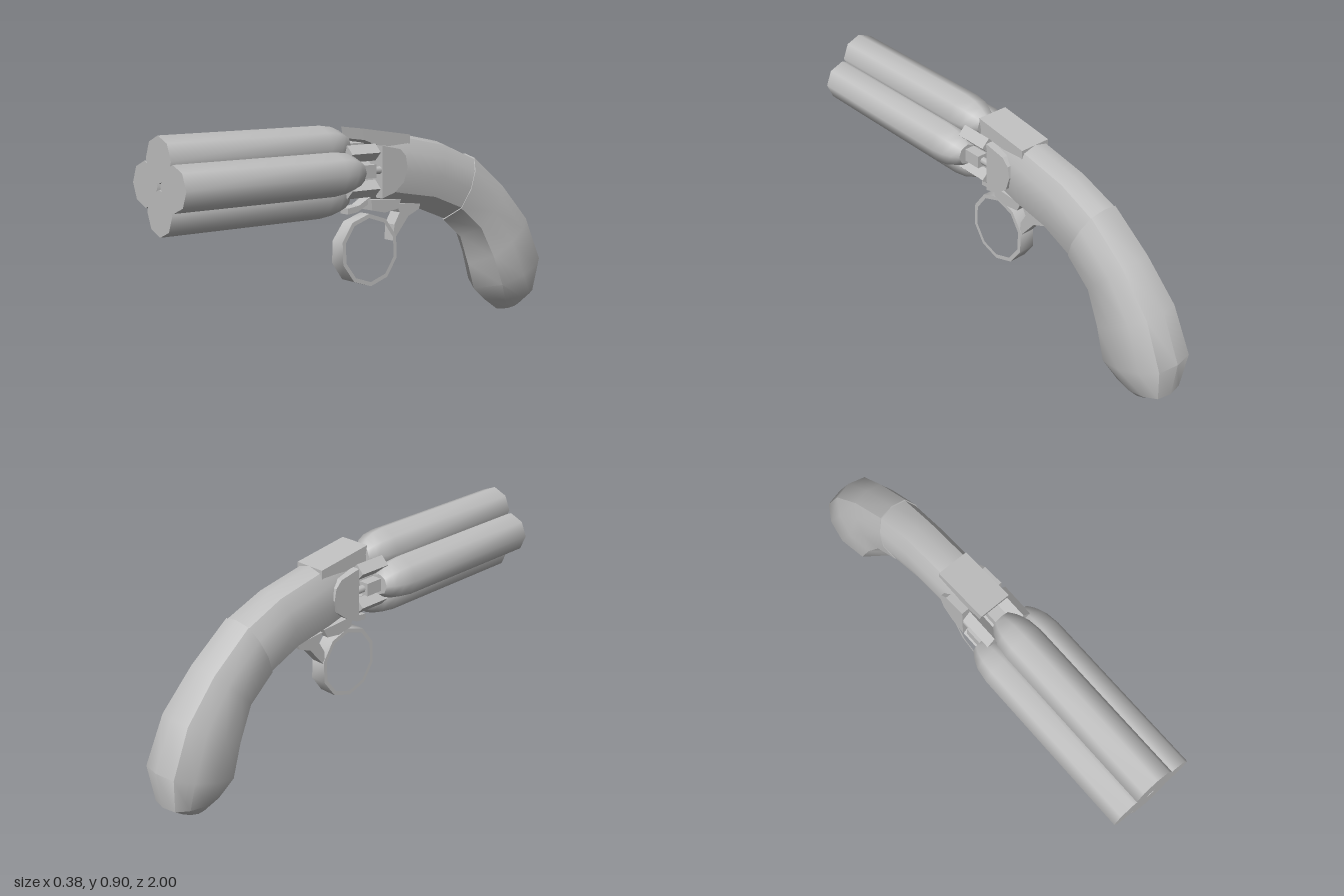
import * as THREE from 'three';
import { toCreasedNormals } from 'three/addons/utils/BufferGeometryUtils.js';

const AXIS_Y = 0.718;

// Skins oval rings; each section is [topZ, topY, bottomZ, bottomY, halfWidth].
function loft(sections) {
  const half = [[0, 0], [0.05, 0.6], [0.24, 0.9], [0.5, 1], [0.8, 0.8]];
  const loop = [...half, [1, 0], ...half.slice(1).reverse().map(([t, w]) => [t, -w])];
  const n = loop.length, pos = [], idx = [];
  for (const [tz, ty, bz, by, w] of sections)
    for (const [t, s] of loop) pos.push(s * w, ty + (by - ty) * t, tz + (bz - tz) * t);
  for (let i = 0; i < sections.length - 1; i++)
    for (let j = 0; j < n; j++) {
      const k = (j + 1) % n, a = i * n + j, b = i * n + k;
      idx.push(a, b, a + n, b, b + n, a + n);
    }
  const addCap = (i, front) => {
    const [tz, ty, bz, by] = sections[i], c = pos.length / 3;
    pos.push(0, (ty + by) / 2, (tz + bz) / 2);
    for (let j = 0; j < n; j++) {
      const a = i * n + j, b = i * n + (j + 1) % n;
      idx.push(c, front ? b : a, front ? a : b);
    }
  };
  addCap(0, true);
  addCap(sections.length - 1, false);
  const g = new THREE.BufferGeometry();
  g.setAttribute('position', new THREE.Float32BufferAttribute(pos, 3));
  g.setIndex(idx);
  return toCreasedNormals(g, 0.6);
}

// Side outline in [z, y], extruded across x and centred on x0.
function sidePlate(points, width, x0 = 0, hole) {
  const toVec = ([z, y]) => new THREE.Vector2(-z, y);
  const shape = new THREE.Shape(points.map(toVec));
  if (hole) shape.holes.push(new THREE.Path(hole.map(toVec)));
  const g = new THREE.ExtrudeGeometry(shape, { depth: width, bevelEnabled: false });
  return g.translate(0, 0, -width / 2).rotateY(Math.PI / 2).translate(x0, 0, 0);
}

function ringPoints(z, y, r, count) {
  return Array.from({ length: count }, (_, i) => {
    const a = (i + 0.5) / count * Math.PI * 2;
    return [z + r * Math.cos(a), y + r * Math.sin(a)];
  });
}

export function createModel() {
  const model = new THREE.Group();
  model.name = 'multiBarrelPistol';
  const steel = new THREE.MeshStandardMaterial({ color: 0xc0c0c0 });
  steel.name = 'grey';
  const add = (name, geometry, parent = model) => {
    const mesh = new THREE.Mesh(geometry, steel);
    mesh.name = name;
    parent.add(mesh);
    return mesh;
  };

  // Four eight-sided barrels with rounded breeches
  const profile = [[0, 0.12], [0.045, 0.12], [0.066, 0.15], [0.082, 0.19], [0.09, 0.25], [0.09, 1], [0, 1]]
    .map(([r, z]) => new THREE.Vector2(r, z));
  const barrel = toCreasedNormals(new THREE.LatheGeometry(profile, 8).rotateX(Math.PI / 2), 0.9);
  const cluster = new THREE.Group();
  cluster.name = 'barrelCluster';
  cluster.position.y = AXIS_Y;
  model.add(cluster);
  for (let i = 0; i < 4; i++) {
    const arm = new THREE.Group();
    arm.name = 'barrelArm';
    arm.rotation.z = i * Math.PI / 2;
    cluster.add(arm);
    add('barrel', barrel, arm).position.y = 0.101;
    // Breech nipple and its boss
    const nipple = add('nipple', new THREE.CylinderGeometry(0.016, 0.016, 0.14, 8).rotateX(Math.PI / 2), arm);
    nipple.position.set(0, 0.085, 0.07);
    const boss = add('breechBlock', new THREE.BoxGeometry(0.055, 0.045, 0.11), arm);
    boss.position.set(0, 0.09, 0.095);
    // Divider blocks between neighbouring barrels
    const block = add('dividerBlock', new THREE.BoxGeometry(0.05, 0.05, 0.15), arm);
    block.position.set(0.075, 0.075, 0.09);
    block.rotation.z = Math.PI / 4;
  }
  const spindle = add('spindle', new THREE.CylinderGeometry(0.035, 0.035, 0.3, 8).rotateX(Math.PI / 2), cluster);
  spindle.position.z = 0.13;

  // Curved frame and bulbous grip
  add('frame', loft([
    [0, 0.872, 0, 0.575, 0.082],
    [-0.17, 0.857, -0.14, 0.545, 0.098],
    [-0.4, 0.81, -0.3, 0.52, 0.1],
    [-0.58, 0.737, -0.45, 0.462, 0.106],
  ]));
  add('grip', loft([
    [-0.575, 0.745, -0.445, 0.457, 0.109],
    [-0.76, 0.6, -0.55, 0.37, 0.114],
    [-0.91, 0.44, -0.6, 0.24, 0.128],
    [-1, 0.24, -0.64, 0.12, 0.14],
    [-0.98, 0.08, -0.71, 0.06, 0.1],
    [-0.91, 0.03, -0.79, 0.005, 0.055],
  ]));

  // Flat-topped hammer bar reaching over the breech
  add('hammerBar', sidePlate([[0.08, 0.893], [0.07, 0.845], [0, 0.82], [-0.18, 0.8], [-0.18, 0.855]], 0.14));

  // Side shields
  for (const s of [-1, 1])
    add('sideShield', sidePlate(
      [[0, 0.82], [0, 0.6], [-0.07, 0.62], [-0.12, 0.66], [-0.14, 0.72], [-0.13, 0.77], [-0.1, 0.8]],
      0.04, s * 0.082));

  // Underside plate and small catch
  add('underPlate', sidePlate([[0.015, 0.59], [0.01, 0.545], [-0.06, 0.53], [-0.13, 0.54], [-0.15, 0.58]], 0.1));
  add('catch', sidePlate([[0.12, 0.56], [0.12, 0.535], [0.07, 0.54], [0, 0.575], [0, 0.6], [0.06, 0.568]], 0.05));

  // Ten-sided trigger ring, wider toward the bottom
  const ring = sidePlate(ringPoints(0.01, 0.375, 0.154, 10), 0.06, 0, ringPoints(0.01, 0.375, 0.136, 10));
  const p = ring.attributes.position;
  for (let i = 0; i < p.count; i++) p.setX(i, p.getX(i) * (1 + (0.52 - p.getY(i)) * 1.3));
  add('triggerRing', toCreasedNormals(ring, 0.8));
  // Arm joining the ring to the frame
  add('ringArm', sidePlate(
    [[-0.125, 0.4], [-0.13, 0.47], [-0.16, 0.52], [-0.14, 0.56], [-0.28, 0.55], [-0.27, 0.525], [-0.21, 0.5]],
    0.06));

  return model;
}
